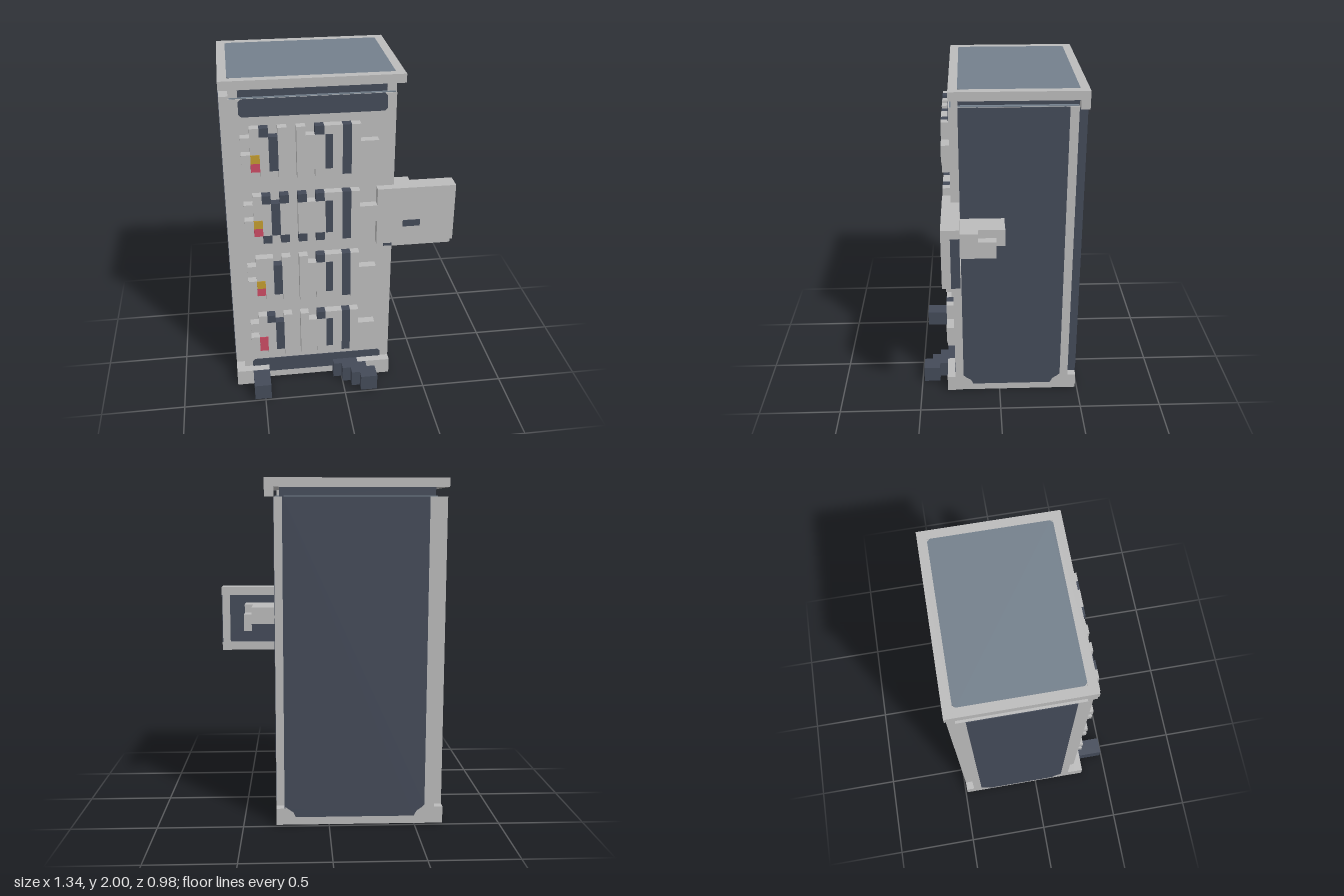
import * as THREE from 'three';

const V = 2 / 39;          // grid unit
const T = 0.08;            // thin plate thickness in grid units
const X0 = -13, Z0 = -9.5; // grid origin in units

function material(name, color) {
  const m = new THREE.MeshStandardMaterial({ color });
  m.name = name;
  return m;
}

export function createModel() {
  const root = new THREE.Group();
  root.name = 'serverCabinet';
  const light = material('light grey', 0xbababa);
  const dark = material('dark slate', 0x434a58);
  const slate = material('blue grey', 0x737f8b);
  const amber = material('amber', 0xc09a30);
  const red = material('red', 0xc84a62);

  // Box between grid coordinates [from, to] on each axis
  function box(parent, name, mat, [x0, x1], [y0, y1], [z0, z1]) {
    const g = new THREE.BoxGeometry((x1 - x0) * V, (y1 - y0) * V, (z1 - z0) * V);
    g.translate((X0 + (x0 + x1) / 2) * V, ((y0 + y1) / 2) * V, (Z0 + (z0 + z1) / 2) * V);
    const m = new THREE.Mesh(g, mat);
    m.name = name;
    parent.add(m);
    return m;
  }

  // Thin inlaid panel: outline in (u, v) grid units, placed by its axes and origin
  function panel(name, mat, pts, u, v, origin) {
    const shape = new THREE.Shape(pts.map(([a, b]) => new THREE.Vector2(a * V, b * V)));
    const g = new THREE.ExtrudeGeometry(shape, { depth: T * V, bevelEnabled: false });
    const U = new THREE.Vector3(...u), W = new THREE.Vector3(...v);
    g.applyMatrix4(new THREE.Matrix4().makeBasis(U, W, U.clone().cross(W)));
    g.translate((X0 + origin[0]) * V, origin[1] * V, (Z0 + origin[2]) * V);
    const m = new THREE.Mesh(g, mat);
    m.name = name;
    root.add(m);
  }
  // Rectangle with cut corners
  const cut = (a0, a1, b0, b1, c = 0.3) => [
    [a0 + c, b0], [a1 - c, b0], [a1, b0 + c], [a1, b1 - c],
    [a1 - c, b1], [a0 + c, b1], [a0, b1 - c], [a0, b0 + c]];
  // Tall wall panel with a lower tab reaching into the plinth
  const wall = (a0, a1) => [
    [a0 + 1.2, 1], [a1 - 1.2, 1], [a1 - 0.9, 1.6], [a1 - 0.3, 2], [a1, 2.3],
    [a1, 36.98], [a0, 36.98], [a0, 2.3], [a0 + 0.3, 2], [a0 + 0.9, 1.6]];

  // Cabinet shell
  const shell = new THREE.Group();
  shell.name = 'shell';
  root.add(shell);
  box(shell, 'plinth', light, [0, 19], [T, 2], [0, 15]);
  box(shell, 'core', light, [1, 19], [2, 37], [1, 15]);
  box(shell, 'backLayer', light, [1, 18], [2, 37], [0, 1]);
  box(shell, 'leftLayer', light, [0, 1], [2, 37], [1, 14]);
  box(shell, 'neck', dark, [1.4, 18.4], [37, 38], [0.6, 14.6]);
  box(shell, 'neckLedge', slate, [1.1, 18.9], [37, 37 + T], [1.1, 14.9]);
  box(shell, 'backLedge', slate, [1.3, 17.9], [37, 37 + T], [0.1, 1.1]);
  box(shell, 'lid', light, [0, 20], [38, 39 - T], [0, 15]);
  box(shell, 'lidCornerBlock', light, [19, 20], [37, 38], [0, 1]);
  box(shell, 'backLayerEnd', dark, [18, 18 + T], [2, 37], [0, 1]);
  for (const x of [1, 18]) box(shell, 'neckCorner', light, [x, x + 1], [37, 38], [14, 14.7]);

  // Inlaid panels
  const X = [1, 0, 0], Y = [0, 1, 0], Z = [0, 0, 1], nX = [-1, 0, 0], nZ = [0, 0, -1];
  panel('lidPanel', slate, cut(1, 19, 1, 14), X, nZ, [0, 39 - T, 15]);
  panel('lidBorder', light,
    [[0, 0], [20, 0], [20, 1], [0, 1]], X, nZ, [0, 39 - T, 15]);
  panel('lidBorder', light,
    [[0, 14], [20, 14], [20, 15], [0, 15]], X, nZ, [0, 39 - T, 15]);
  for (const x of [0, 19]) panel('lidBorder', light,
    [[x, 1], [x + 1, 1], [x + 1, 14], [x, 14]], X, nZ, [0, 39 - T, 15]);
  panel('upperFrontPanel', dark, cut(2, 18, 35, 37), X, Y, [0, 0, 15]);
  panel('lowerFrontPanel', dark, cut(2, 18, 1, 3), X, Y, [0, 0, 15]);
  panel('rightPanel', dark, wall(1, 13), nZ, Y, [19, 0, 15]);
  panel('leftPanel', dark, wall(2, 13), Z, Y, [0, 0, 0]);
  panel('backPanel', dark, wall(1.9, 17.8), nX, Y, [19.9, 0, 0]);
  panel('bottomPanel', dark, cut(2, 17, 2, 13, 0.6), X, Z, [0, T, 0]);

  // Feet and front plinth blocks
  const feet = new THREE.Group();
  feet.name = 'feet';
  root.add(feet);
  box(feet, 'frontBlock', light, [0, 4], [0, 2], [15, 16]);
  box(feet, 'frontBlock', light, [15, 19], [0, 2], [15, 16]);
  box(feet, 'straightFoot', dark, [2, 4], [0, 2], [16, 19]);
  [[12, 15], [13, 16], [14, 17], [15, 17]].forEach((xs, i) =>
    box(feet, 'steppedFoot', dark, xs, [0, 2], [15 + i, 16 + i]));

  // Four rack modules
  for (let r = 0; r < 4; r++) {
    const rack = new THREE.Group();
    rack.name = 'rackModule' + (r + 1);
    root.add(rack);
    const base = 4 + r * 8, busy = r === 2;
    const part = (name, mat, xs, y0, y1, z1 = 16) =>
      box(rack, name, mat, xs, [base + y0, base + y1], [15, z1]);
    // A column, with dark ends where capped
    const column = (x, top, bottom) => {
      part('column', light, [x, x + 1], bottom ? 1 : 0, top ? 5 : 6);
      if (top) part('columnCap', dark, [x, x + 1], 5, 6);
      if (bottom) part('columnFoot', dark, [x, x + 1], 0, 1);
    };
    part('upperEar', light, [2, 3], 4, 5);
    part('lowerEar', light, [2, 3], 2, 3);
    part('earBlock', light, [3, 4], 1, 6);
    part('upperLamp', r === 0 ? red : amber, [3, 4], 2, 3, 16 + T);
    part('lowerLamp', red, [3, 4], 1, 2, 16 + T);
    column(4, r !== 1, busy);
    part('slotBar', dark, [5, 6], 1, 5);
    column(6, busy, busy);
    column(8, busy, busy);
    part('bridge', light, [9, 10], 1, 5);
    column(10, true, busy);
    part('face', light, [11, 13], 0, 6);
    part('slot', dark, [11.1, 11.9], 1, 5, 16 + T);
    part('longBar', dark, [13, 14], busy ? 0 : 0.2, 6);
    part('edgeColumn', light, [14, 15], 0, 6);
    part('arm', light, [15, 17], 2, 4);
  }

  // Swing-out tray
  const tray = new THREE.Group();
  tray.name = 'tray';
  root.add(tray);
  box(tray, 'trayFront', light, [17, 26], [19, 26], [15, 16]);
  box(tray, 'trayBack', dark, [19, 26], [19, 25], [14.3, 15]);
  box(tray, 'trayTopRim', light, [19, 26], [25, 26], [14, 15]);
  box(tray, 'trayBottomRim', light, [19, 26], [18, 19], [14, 15]);
  box(tray, 'trayEndRim', light, [25, 26 - T], [19, 25], [14, 14.3]);
  box(tray, 'trayEndFace', dark, [26 - T, 26], [19, 25], [14, 14.3]);
  box(tray, 'traySlot', dark, [20, 22], [21.1, 21.9], [16, 16 + T]);
  box(tray, 'latch', dark, [18, 19], [18.1, 19], [15, 15 + T]);

  // Bracket holding the tray to the side wall
  const bracket = new THREE.Group();
  bracket.name = 'bracket';
  root.add(bracket);
  box(bracket, 'bracketBlock', light, [19, 23], [21, 24], [12, 14.3]);
  box(bracket, 'bracketStep', light, [19, 23], [21, 23], [10, 12]);
  box(bracket, 'bracketTop', light, [19, 22], [23, 24], [9, 12]);
  box(bracket, 'bracketTip', light, [19, 22], [22, 23], [9, 10]);
  box(bracket, 'bracketPin', dark, [19, 22], [21, 22], [9, 10]);

  return root;
}
